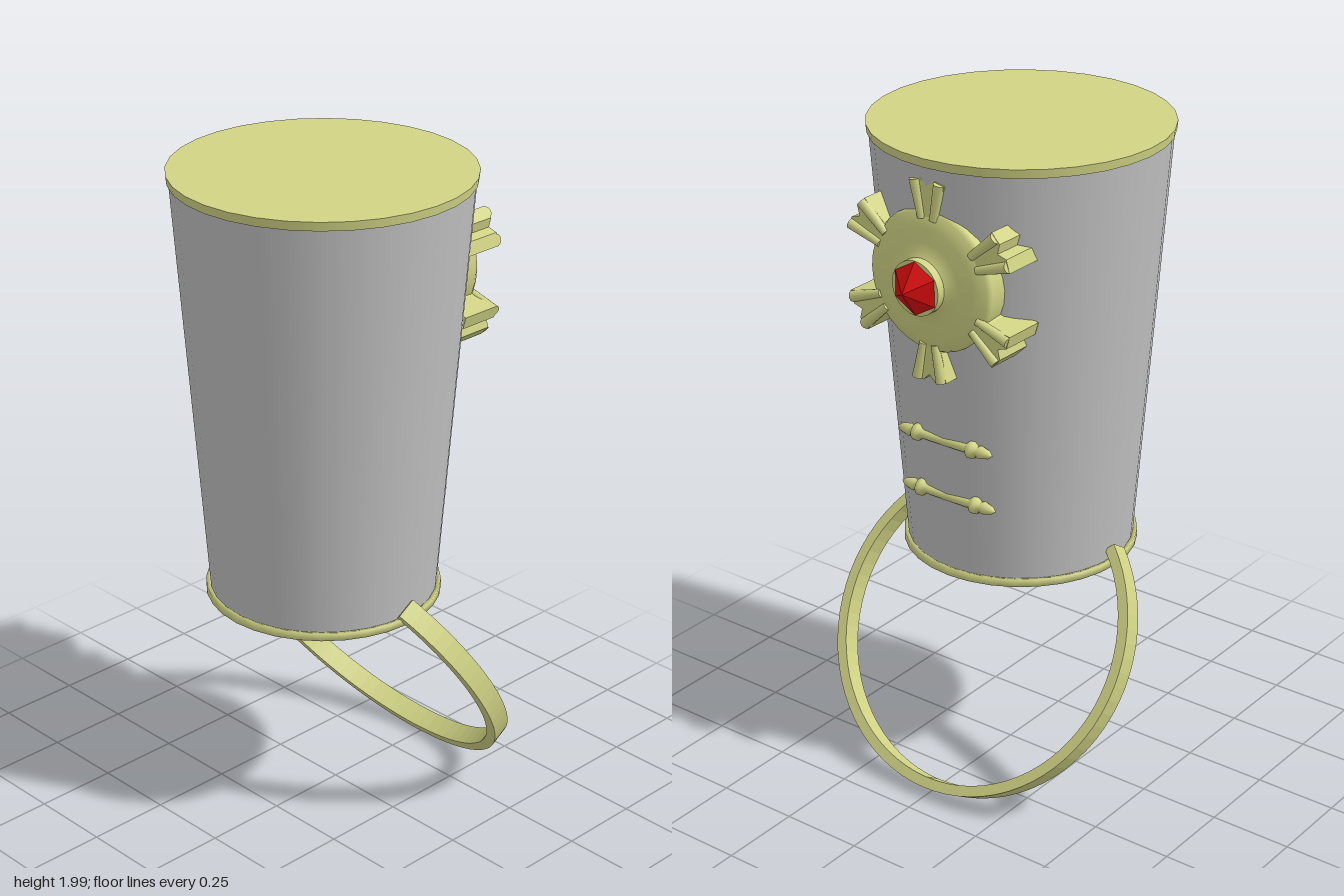
import * as THREE from 'three';

const mat = (name, color, extra = {}) => {
  const m = new THREE.MeshStandardMaterial({ color, ...extra });
  m.name = name;
  return m;
};

export function createModel() {
  const model = new THREE.Group();
  model.name = 'cuff';
  const gold = mat('pale gold', 0xd0d384);
  const steel = mat('grey steel', 0xc0c0c0);
  steel.side = THREE.DoubleSide;
  const red = mat('red gem', 0xdc0c0c);
  red.flatShading = true;

  const add = (parent, name, geo, material, x = 0, y = 0, z = 0) => {
    const m = new THREE.Mesh(geo, material);
    m.name = name;
    m.position.set(x, y, z);
    parent.add(m);
    return m;
  };
  const v2 = (pts) => pts.map(([x, y]) => new THREE.Vector2(x, y));

  // Tapered body, open at the bottom
  const cz = 0.05;
  add(model, 'body', new THREE.CylinderGeometry(0.428, 0.334, 1.28, 32, 1, true), steel, 0, 1.345, cz);
  // Lid and lower rim band
  add(model, 'lid', new THREE.CylinderGeometry(0.435, 0.432, 0.026, 32), gold, 0, 1.987, cz);
  const rim = [[0.333, 0.703], [0.348, 0.703], [0.348, 0.725], [0.335, 0.725], [0.333, 0.703]];
  add(model, 'lowerRim', new THREE.LatheGeometry(v2(rim), 32), gold, 0, 0, cz);

  // Tilted hand guard: flat open ring
  const a0 = Math.PI * 0.745, a1 = Math.PI * 2.255;
  const ring = new THREE.Shape();
  ring.absarc(0, 0, 0.505, a0, a1, false);
  ring.absarc(0, 0, 0.473, a1, a0, true);
  const guardGeo = new THREE.ExtrudeGeometry(ring, { depth: 0.064, bevelEnabled: false, curveSegments: 28 });
  guardGeo.translate(0, 0, -0.032);
  add(model, 'handGuard', guardGeo, gold, 0, 0.455, -0.135).rotation.x = 0.563;

  // Ornament on the back, built facing +z and turned round
  const badge = new THREE.Group();
  badge.name = 'ornament';
  badge.position.set(0, 1.643, -0.385);
  badge.rotation.y = Math.PI;
  model.add(badge);
  const dome = [[0.2, -0.14], [0.208, -0.03], [0.2, -0.015], [0.16, -0.004], [0.12, 0.002],
    [0.095, 0.008], [0.08, 0.018]];
  add(badge, 'ornamentDome', new THREE.LatheGeometry(v2(dome), 32), gold).rotation.x = Math.PI / 2;
  add(badge, 'gemSeat', new THREE.CylinderGeometry(0.08, 0.08, 0.045, 24), gold, 0, 0, 0.022).rotation.x = Math.PI / 2;
  add(badge, 'gem', new THREE.ConeGeometry(0.078, 0.056, 6), red, 0, 0, 0.073).rotation.x = Math.PI / 2;

  // Six flared, forked arms reaching in to the body
  const fork = new THREE.Shape(v2([[0.15, -0.036], [0.21, -0.032], [0.287, -0.06], [0.296, -0.022],
    [0.275, 0], [0.296, 0.022], [0.287, 0.06], [0.21, 0.032], [0.15, 0.036]]));
  const forkGeo = new THREE.ExtrudeGeometry(fork, { depth: 0.13, bevelEnabled: false });
  const ridgeGeo = new THREE.CylinderGeometry(0.017, 0.012, 0.11, 10);
  for (let i = 0; i < 6; i++) {
    const arm = new THREE.Group();
    arm.name = 'ornamentArm';
    arm.rotation.z = Math.PI / 6 + i * Math.PI / 3;
    badge.add(arm);
    add(arm, 'armFork', forkGeo, gold, 0, 0, -0.142);
    for (const s of [-1, 1]) {
      add(arm, 'armRidge', ridgeGeo, gold, 0.236, s * 0.031, -0.014).rotation.z = -Math.PI / 2 + s * 0.2;
    }
  }

  // Two small bars with beads and pointed ends
  const bar = [[0, -0.17], [0.012, -0.155], [0.019, -0.125], [0.013, -0.115], [0.025, -0.105],
    [0.025, -0.09], [0.014, -0.078], [0.014, 0]];
  const profile = [...bar, ...bar.slice(0, -1).reverse().map(([r, y]) => [r, -y])];
  const barGeo = new THREE.LatheGeometry(v2(profile), 14);
  for (const [y, z] of [[1.14, -0.308], [0.96, -0.294]]) {
    add(model, 'bar', barGeo, gold, 0, y, z).rotation.z = Math.PI / 2;
  }
  return model;
}
